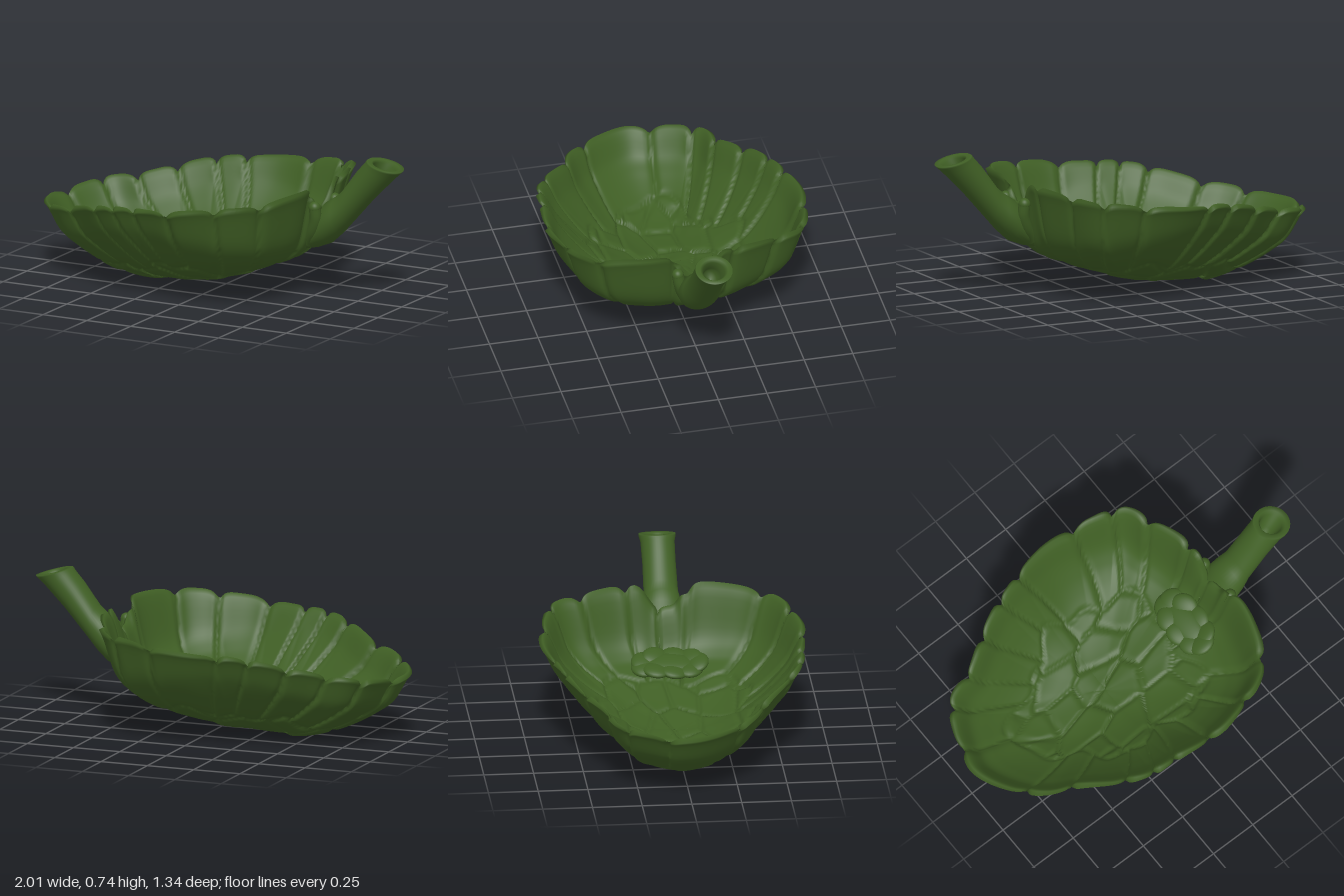
import * as THREE from 'three';

const leafGreen = new THREE.MeshStandardMaterial({ color: 0x3f5e24 });
leafGreen.name = 'leafGreen';

// Skin a list of closed rings: ringPoint(i, j) gives point i round ring j
function skin(around, rings, ringPoint) {
  const pos = [], index = [];
  for (let j = 0; j < rings; j++) {
    for (let i = 0; i < around; i++) pos.push(...ringPoint(i, j).toArray());
  }
  for (let j = 0; j < rings - 1; j++) {
    for (let i = 0; i < around; i++) {
      const k = (i + 1) % around;
      const a = j * around + i, b = a + around, c = j * around + k, d = c + around;
      index.push(a, b, c, c, b, d);
    }
  }
  const g = new THREE.BufferGeometry();
  g.setAttribute('position', new THREE.Float32BufferAttribute(pos, 3));
  g.setIndex(index);
  g.computeVertexNormals();
  return g;
}

function addMesh(parent, name, geometry) {
  const m = new THREE.Mesh(geometry, leafGreen);
  m.name = name;
  parent.add(m);
  return m;
}

const AROUND = 440, STEPS = 60, CENTRE = -0.15, PETALS = 20;

// Rim outline seen from above (x, z)
const outline = [
  [0.55, 0], [0.57, 0.2], [0.54, 0.35], [0.48, 0.5], [0.38, 0.585], [0.2, 0.645],
  [0.05, 0.67], [-0.15, 0.645], [-0.35, 0.62], [-0.5, 0.545], [-0.65, 0.43],
  [-0.8, 0.345], [-0.93, 0.2], [-1.01, 0.0], [-0.96, -0.2], [-0.86, -0.36],
  [-0.7, -0.42], [-0.5, -0.54], [-0.3, -0.615], [-0.03, -0.675], [0.26, -0.635],
  [0.42, -0.57], [0.49, -0.42], [0.555, -0.22],
];
const rim = new THREE.CatmullRomCurve3(
  outline.map(([x, z]) => new THREE.Vector3(x, 0, z)), true).getSpacedPoints(AROUND);

// Wall heights from the centre to the rim: stem end, sides, tip
const profile = (ys) => new THREE.SplineCurve(ys.map((y, i) => new THREE.Vector2(i / 10, y)));
const stemEnd = profile([0.02, 0.033, 0.05, 0.07, 0.09, 0.113, 0.14, 0.17, 0.215, 0.32, 0.585]);
const sides = profile([0.02, 0.022, 0.03, 0.045, 0.07, 0.105, 0.15, 0.21, 0.285, 0.375, 0.49]);
const tip = profile([0.02, 0.008, 0.003, 0, 0.003, 0.02, 0.05, 0.09, 0.14, 0.205, 0.335]);

// Seeded scatter of small leaves over the floor, drawn out along x
const hash = (a, b) => {
  const v = Math.sin(a * 127.1 + b * 311.7) * 43758.5453;
  return v - Math.floor(v);
};
function scale(x, z, seed) {
  const u = (x + 0.45 * z) / 0.24, v = z / 0.15;
  let near = 9, next = 9, tone = 0;
  for (let a = Math.floor(u) - 1; a <= Math.floor(u) + 1; a++) {
    for (let b = Math.floor(v) - 1; b <= Math.floor(v) + 1; b++) {
      const du = u - a - 0.1 - 0.8 * hash(a + seed, b), dv = v - b - 0.1 - 0.8 * hash(a, b + seed);
      const d = Math.hypot(du, dv);
      if (d < near) {
        next = near;
        near = d;
        tone = du;
      } else if (d < next) next = d;
    }
  }
  return { edge: (next - near) * 0.09, tone };
}

// Long leaves in a ring, leaning towards the stem at their feet
function petal(th, s) {
  const t = th + 0.45 * (1 - s) * Math.sin(th);
  const warped = t + 0.09 * Math.sin(3 * t + 1) + 0.055 * Math.sin(7 * t);
  const u = (warped / (2 * Math.PI) + 1) * PETALS;
  return u - Math.floor(u);
}

function relief(p, th, s, seed) {
  const foot = 0.6 + 0.05 * Math.sin(5 * th + seed) + 0.035 * Math.sin(11 * th + 2);
  const border = Math.abs(s - foot) * 0.68;
  let edge, tone;
  if (s > foot) {
    const f = petal(th, s);
    edge = Math.min(f, 1 - f) * 2 * Math.PI * s * 0.68 / PETALS;
    tone = f - 0.5;
  } else {
    ({ edge, tone } = scale(p.x, p.z, seed));
  }
  const d = Math.min(edge, border);
  return 0.01 * tone - 0.011 * Math.exp(-((d / 0.012) ** 2));
}

// Smooth outer wall with a scalloped rim and a dip where the stem joins
function wall(i, s) {
  const p = rim[(i + AROUND) % AROUND];
  const th = Math.atan2(p.z, p.x - CENTRE), c = Math.cos(th);
  const w = Math.abs(c) ** (c > 0 ? 1.3 : 2);
  const notch = Math.abs(2 * petal(th, 1) - 1) ** 4 * s ** 7;
  const dip = 0.13 * Math.exp(-((p.z / 0.11) ** 4)) * (c > 0 ? s ** 8 : 0);
  const end = c > 0 ? stemEnd : tip;
  const y = w * end.getPoint(s).y + (1 - w) * sides.getPoint(s).y;
  const k = s * (1 - 0.035 * notch);
  return new THREE.Vector3(CENTRE + (p.x - CENTRE) * k, y - 0.035 * notch - dip, p.z * k);
}

function bowlPoint(i, j) {
  const inner = j > STEPS;
  const s = (inner ? 2 * STEPS + 1 - j : j) / STEPS;
  const p = wall(i, s);
  const n = new THREE.Vector3(0, 1, 0);
  if (s > 0) {
    const di = wall(i + 1, s).sub(wall(i - 1, s));
    const ds = wall(i, Math.min(1, s + 0.01)).sub(wall(i, s - 0.01));
    n.crossVectors(di, ds).normalize();
  }
  const th = Math.atan2(rim[i].z, rim[i].x - CENTRE);
  const thick = 0.02 + 0.035 * Math.sqrt(1 - s);
  const offset = inner ? thick + relief(p, th, s, 4) : -relief(p, th, s, 1);
  return p.addScaledVector(n, offset);
}

// Stem rings: lower edge x, y, upper edge x, y, half width
const stemRings = [
  [0.47, 0.3, 0.47, 0.3, 0], [0.45, 0.235, 0.49, 0.35, 0.06], [0.53, 0.252, 0.53, 0.41, 0.09],
  [0.6, 0.28, 0.575, 0.49, 0.108], [0.66, 0.335, 0.63, 0.525, 0.1],
  [0.71, 0.39, 0.67, 0.56, 0.087], [0.84, 0.535, 0.755, 0.675, 0.084],
  [0.95, 0.645, 0.8, 0.725, 0.086], [0.99, 0.682, 0.81, 0.738, 0.094],
  [1, 0.692, 0.815, 0.741, 0.093], [0.975, 0.698, 0.84, 0.735, 0.07],
  [0.955, 0.685, 0.845, 0.72, 0.055], [0.9, 0.62, 0.82, 0.67, 0.045],
  [0.85, 0.57, 0.78, 0.63, 0.035], [0.81, 0.59, 0.81, 0.59, 0],
];
function stemPoint(i, j) {
  const [bx, by, tx, ty, w] = stemRings[j];
  const a = i / 40 * 2 * Math.PI, c = Math.cos(a) / 2;
  return new THREE.Vector3((bx + tx) / 2 + c * (tx - bx), (by + ty) / 2 + c * (ty - by), -Math.sin(a) * w);
}

export function createModel() {
  const model = new THREE.Group();
  model.name = 'leafBowl';
  addMesh(model, 'bowl', skin(AROUND, 2 * STEPS + 2, bowlPoint));
  addMesh(model, 'stem', skin(40, stemRings.length, stemPoint));

  // Crumpled rosette of small leaves on the floor at the foot of the stem
  const rosette = new THREE.Group();
  rosette.name = 'rosette';
  rosette.position.set(0.35, 0.225, 0.01);
  rosette.rotation.z = 0.35;
  model.add(rosette);
  const ball = new THREE.SphereGeometry(1, 24, 14);
  for (let k = 0; k < 9; k++) {
    const a = k / 9 * 2 * Math.PI + 0.2;
    const leaf = addMesh(rosette, 'rosetteLeaf', ball);
    leaf.position.set(0.06 * Math.cos(a), 0.005 * (k % 3), 0.14 * Math.sin(a));
    leaf.scale.set(0.06, 0.024, 0.07);
    leaf.rotation.set(0.2 * Math.sin(5 * k), -a, 0.15);
  }
  const heart = addMesh(rosette, 'rosetteHeart', ball);
  heart.position.y = 0.01;
  heart.scale.set(0.07, 0.022, 0.12);

  // Flaps hugging the stem knob on both sides, spreading up to the rim
  for (const side of [-1, 1]) {
    const flap = new THREE.CatmullRomCurve3([
      new THREE.Vector3(0.49, 0.28, side * 0.035), new THREE.Vector3(0.535, 0.35, side * 0.075),
      new THREE.Vector3(0.56, 0.42, side * 0.095), new THREE.Vector3(0.56, 0.48, side * 0.105),
    ]);
    addMesh(model, 'stemFlap', new THREE.TubeGeometry(flap, 20, 0.03, 12));
    const tipBall = addMesh(model, 'stemFlapTip', ball);
    tipBall.position.set(0.56, 0.48, side * 0.105);
    tipBall.scale.setScalar(0.03);
  }
  return model;
}
